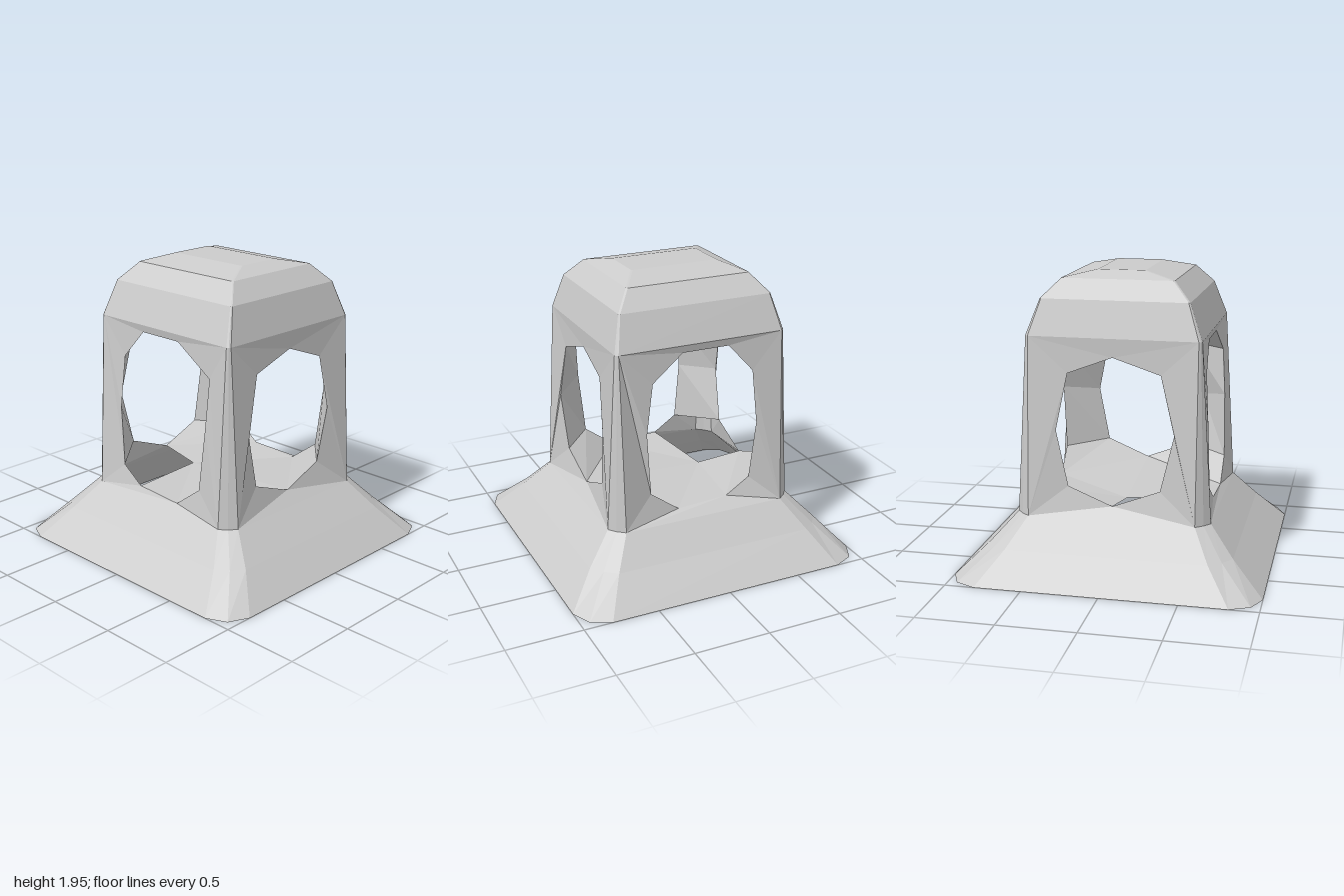
import * as THREE from 'three';

const material = new THREE.MeshStandardMaterial({ color: 0xcccccc, flatShading: true, side: THREE.DoubleSide });

// Level: height, half width, half depth, corner cut, inset of the corner's middle point
const BASE = [[0, 1, 1, 0.19, 0.06], [0.2, 0.82, 0.795, 0.14, 0.06], [0.38, 0.65, 0.635, 0.09, 0.04]];
const BODY_TOP = [1.55, 0.585, 0.565, 0.02, 0.008];
const ROOF = [BODY_TOP, [1.78, 0.525, 0.48, 0.01, 0.004], [1.9, 0.425, 0.365, 0.01, 0.004], [1.945, 0.3, 0.155, 0.01, 0.004]];
const BODY_BOTTOM = BASE[2];

// Window outlines in wall coordinates (across, up)
const WIDE = {
  left: [[-0.36, 0.55], [-0.39, 0.95], [-0.36, 1.31]],
  top: [[-0.19, 1.5], [0.13, 1.5]],
  right: [[0.35, 0.57], [0.4, 1.0], [0.42, 1.32]],
  sill: [[-0.2, 0.44], [0.15, 0.42]],
};
const NARROW = {
  left: [[-0.31, 0.58], [-0.4, 0.95], [-0.31, 1.33]],
  top: [[0, 1.43]],
  right: [[0.29, 0.58], [0.365, 0.95], [0.29, 1.32]],
  sill: [[0, 0.46]],
};

function mirrored(w) {
  const flip = (list) => list.map(([u, y]) => [-u, y]);
  return { left: flip(w.right), right: flip(w.left), top: flip(w.top).reverse(), sill: flip(w.sill).reverse() };
}
// Front, left (+x), back, right (-x)
const BACK = { ...mirrored(WIDE), left: [[-0.35, 0.57], [-0.39, 1.0], [-0.34, 1.33]] };
const WINDOWS = [WIDE, NARROW, BACK, mirrored(NARROW)];
// How far each sill sinks behind its wall
const SILL_INSET = [0.035, 0.07, 0.09, 0.06];

function meshFrom(name, triangles) {
  const geometry = new THREE.BufferGeometry().setFromPoints(triangles);
  geometry.computeVertexNormals();
  const mesh = new THREE.Mesh(geometry, material);
  mesh.name = name;
  return mesh;
}

// Twelve-point ring with cut corners, counter-clockwise seen from above
function ring([y, hx, hz, c, m]) {
  const points = [];
  for (const [sx, sz] of [[1, 1], [1, -1], [-1, -1], [-1, 1]]) {
    const corner = [[hx - c, hz], [hx - m, hz - m], [hx, hz - c]];
    if (sx * sz < 0) corner.reverse();
    for (const [x, z] of corner) points.push(new THREE.Vector3(x * sx, y, z * sz));
  }
  return points;
}

// Strip of quads between two rows of points
function strip(low, high, closed = false) {
  const out = [];
  const count = closed ? low.length : low.length - 1;
  for (let i = 0; i < count; i++) {
    const j = (i + 1) % low.length;
    out.push(low[i], low[j], high[j], low[i], high[j], high[i]);
  }
  return out;
}

function loft(levels) {
  const rings = levels.map(ring);
  return rings.slice(1).flatMap((r, i) => strip(rings[i], r, true));
}

// Triangles from a centre to a row of points
function fan(centre, row, closed) {
  const out = [];
  for (let i = 0; i < row.length - (closed ? 0 : 1); i++) {
    out.push(centre, row[i], row[(i + 1) % row.length]);
  }
  return out;
}

// Distance of a wall from the centre at height y; even sides face z, odd sides face x
function wallDepth(side, y) {
  const t = (y - BODY_BOTTOM[0]) / (BODY_TOP[0] - BODY_BOTTOM[0]);
  const axis = side % 2 ? 1 : 2;
  return THREE.MathUtils.lerp(BODY_BOTTOM[axis], BODY_TOP[axis], t);
}

// Window edges sit behind the wall, deepest at the sill
function windowDepth(side, y) {
  const t = THREE.MathUtils.clamp((y - 0.43) / 0.55, 0, 1);
  return wallDepth(side, y) - THREE.MathUtils.lerp(SILL_INSET[side], 0.015, t);
}

const UP = new THREE.Vector3(0, 1, 0);
const onWindow = (side, [u, y]) =>
  new THREE.Vector3(u, y, windowDepth(side, y)).applyAxisAngle(UP, side * Math.PI / 2);

// Wall with a many-sided window cut out, leaned inwards
function wall(side) {
  const w = WINDOWS[side];
  const half = ([, hx, hz, c]) => (side % 2 ? hz : hx) - c;
  const b = half(BODY_BOTTOM), t = half(BODY_TOP);
  const corners = [[-b, BODY_BOTTOM[0]], [b, BODY_BOTTOM[0]], [t, BODY_TOP[0]], [-t, BODY_TOP[0]]];
  const shape = new THREE.Shape(corners.map((p) => new THREE.Vector2(...p)));
  const outline = [...w.sill, ...w.right, ...[...w.top].reverse(), ...[...w.left].reverse()];
  shape.holes.push(new THREE.Path(outline.map((p) => new THREE.Vector2(...p))));
  const geometry = new THREE.ShapeGeometry(shape);
  const pos = geometry.attributes.position;
  for (let i = 0; i < pos.count; i++) {
    const depth = i < corners.length ? wallDepth : windowDepth;
    pos.setZ(i, depth(side, pos.getY(i)));
  }
  geometry.rotateY(side * Math.PI / 2);
  geometry.computeVertexNormals();
  const mesh = new THREE.Mesh(geometry, material);
  mesh.name = ['frontWall', 'leftWall', 'backWall', 'rightWall'][side];
  return mesh;
}

export function createModel() {
  const model = new THREE.Group();
  model.name = 'openTower';

  // Flared hollow base
  model.add(meshFrom('flaredBase', loft(BASE)));

  // Domed roof with a flat cap
  const cap = ring(ROOF[ROOF.length - 1]);
  model.add(meshFrom('roof', [...loft(ROOF), ...fan(new THREE.Vector3(0, 1.945, 0), cap, true)]));

  const low = ring(BODY_BOTTOM), high = ring(BODY_TOP);
  const floor = [], ceiling = [];
  for (let side = 0; side < 4; side++) {
    const next = (side + 1) % 4;
    const w = WINDOWS[side], v = WINDOWS[next];
    model.add(wall(side));

    // Corner pillar: outer bevel and inner diagonal face
    const a = w.right.map((p) => onWindow(side, p));
    const b = v.left.map((p) => onWindow(next, p));
    const from = side * 3;
    model.add(meshFrom('cornerPillar', [
      ...strip(low.slice(from, from + 3), high.slice(from, from + 3)),
      ...strip(a, b),
    ]));

    // Floor and ceiling pieces in the corner; one front corner of the floor stays open
    const sillA = onWindow(side, w.sill.at(-1)), sillB = onWindow(next, v.sill[0]);
    const topA = onWindow(side, w.top.at(-1)), topB = onWindow(next, v.top[0]);
    if (side < 3) floor.push(sillA, a[0], sillB, a[0], b[0], sillB);
    ceiling.push(topA, topB, a[2], a[2], topB, b[2]);
  }

  // Middle of the floor and of the vaulted ceiling
  const sills = WINDOWS.flatMap((w, s) => w.sill.map((p) => onWindow(s, p)));
  const tops = WINDOWS.flatMap((w, s) => w.top.map((p) => onWindow(s, p)));
  floor.push(...fan(new THREE.Vector3(-0.28, 0.42, 0.03), sills, false));
  ceiling.push(...fan(new THREE.Vector3(0, 1.6, 0), tops, true).reverse());
  model.add(meshFrom('floor', floor), meshFrom('ceiling', ceiling));

  return model;
}
